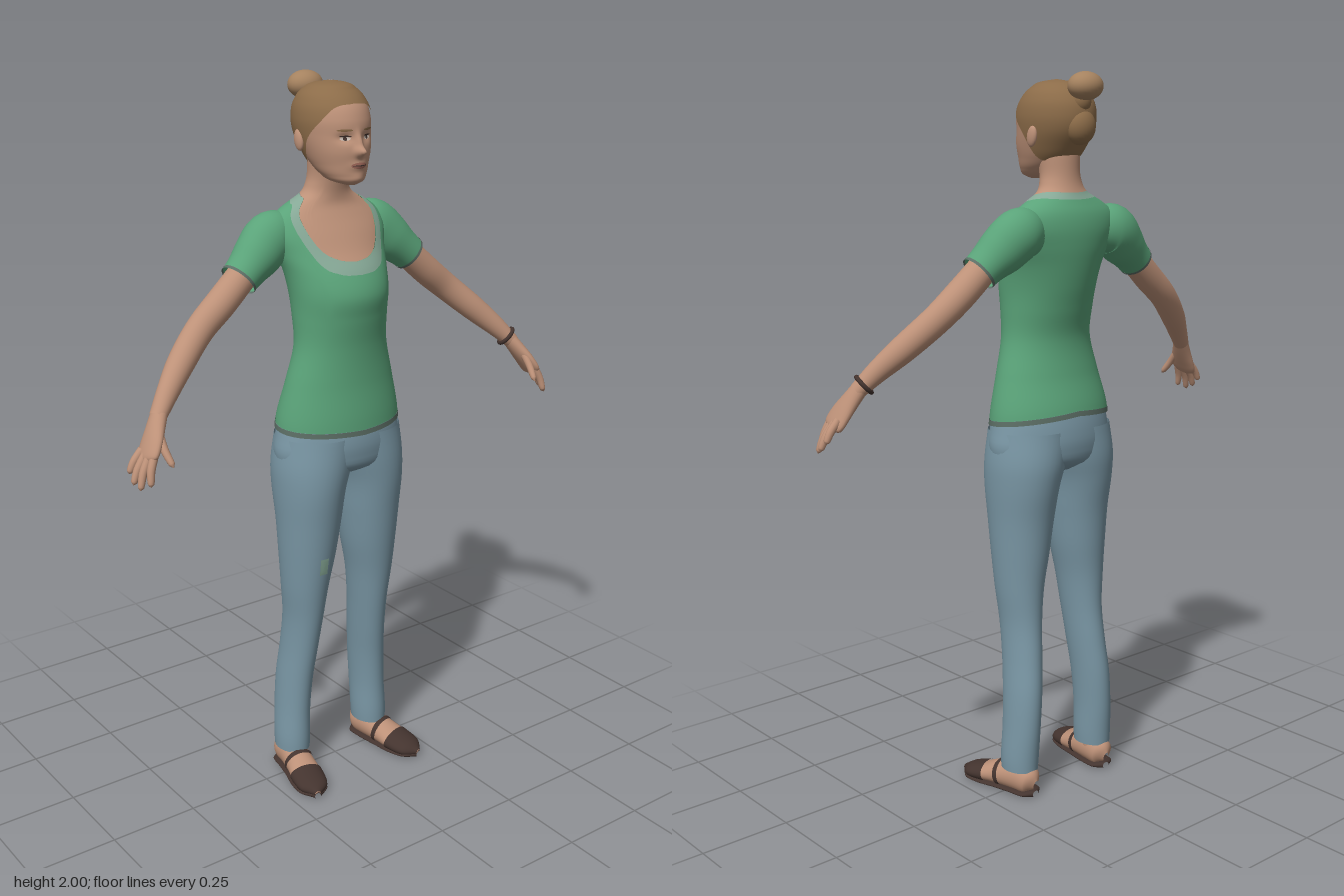
import * as THREE from 'three';

const TAU = Math.PI * 2;
const lerp = THREE.MathUtils.lerp;

// Smooth interpolation of table rows [key, ...values]
function spline(rows) {
  const it = new THREE.CubicInterpolant(
    new Float32Array(rows.map(r => r[0])),
    new Float32Array(rows.flatMap(r => r.slice(1))), rows[0].length - 1);
  return t => Array.from(it.evaluate(t));
}

// Closed band: fn(angle, v) gives a point, v running from 0 to 1
function surface(fn, nu, nv) {
  const pos = [], index = [];
  for (let j = 0; j <= nv; j++)
    for (let i = 0; i < nu; i++) pos.push(...fn(i / nu * TAU, j / nv).toArray());
  for (let j = 0; j < nv; j++)
    for (let i = 0; i < nu; i++) {
      const a = j * nu + i, b = j * nu + (i + 1) % nu;
      index.push(a, b, a + nu, b, b + nu, a + nu);
    }
  const g = new THREE.BufferGeometry();
  g.setAttribute('position', new THREE.Float32BufferAttribute(pos, 3));
  g.setIndex(index);
  g.computeVertexNormals();
  return g;
}

// Upright body from rows [y, xMin, xMax, zFront, zBack]; angle 0 is the front
function body(rows) {
  const s = spline(rows);
  return (a, y, grow = 0) => {
    const [x0, x1, zf, zb] = s(y);
    return new THREE.Vector3(
      (x0 + x1) / 2 + Math.sin(a) * ((x1 - x0) / 2 + grow), y,
      (zf + zb) / 2 + Math.cos(a) * ((zf - zb) / 2 + grow));
  };
}
const symmetric = rows => rows.map(([y, rx, zf, zb]) => [y, -rx, rx, zf, zb]);

// Height line around a body, given for degrees 0 (front) to 180 (back)
function line(rows) {
  const s = spline(rows);
  return a => { const d = a * 360 / TAU; return s(d > 180 ? 360 - d : d)[0]; };
}
const band = (shape, lo, hi, nu, nv, grow = 0) =>
  surface((a, v) => shape(a, lerp(lo(a), hi(a), v), grow), nu, nv);
const level = y => () => y;

// Limb along points [x, y, z, radiusA, radiusB]; radiusA lies along ref
function limb(points, nu, nv, ref = new THREE.Vector3(0, 0, 1), from = 0, to = 1, grow = 0, floor = -1) {
  const curve = new THREE.CatmullRomCurve3(points.map(p => new THREE.Vector3(p[0], p[1], p[2])));
  const radii = spline(points.map((p, i) => [i, p[3], p[4]]));
  return surface((a, v) => {
    const u = lerp(from, to, v), t = curve.getTangent(u);
    const [ra, rb] = radii(u * (points.length - 1));
    const A = ref.clone().addScaledVector(t, -ref.dot(t)).normalize();
    const B = t.clone().cross(A);
    const p = curve.getPoint(u).addScaledVector(A, Math.cos(a) * (ra + grow))
      .addScaledVector(B, Math.sin(a) * (rb + grow));
    p.y = Math.max(p.y, floor);
    return p;
  }, nu, nv);
}

function mirrored(geo) {
  const g = geo.clone().scale(-1, 1, 1), ix = g.index.array;
  for (let i = 0; i < ix.length; i += 3) [ix[i], ix[i + 1]] = [ix[i + 1], ix[i]];
  g.computeVertexNormals();
  return g;
}

// Thin painted spot lying on the front of a body
function spot(shape, cx, cy, w, h, nu = 20, phase = 0, lift = 0.003) {
  return surface((a, v) => {
    const r = 1 - v, x = cx + w * r * Math.cos(a + phase), y = cy + h * r * Math.sin(a + phase);
    const l = shape(-Math.PI / 2, y).x, m = shape(Math.PI / 2, y).x;
    const p = shape(Math.asin(THREE.MathUtils.clamp((2 * x - l - m) / (m - l), -1, 1)), y);
    p.z += lift;
    return p;
  }, nu, 3);
}

export function createModel() {
  const model = new THREE.Group();
  const paint = (name, color, side = THREE.FrontSide) => {
    const m = new THREE.MeshStandardMaterial({ color, side });
    m.name = name;
    return m;
  };
  const skin = paint('skin', 0xbd9178), hair = paint('hair', 0x8c6c49), bunHair = paint('bunHair', 0xa5825f);
  const green = paint('shirtGreen', 0x5aa379, THREE.DoubleSide), trim = paint('collarTrim', 0x86a896);
  const hem = paint('hemGrey', 0x5d6f66, THREE.DoubleSide), denim = paint('denim', 0x7a97a5, THREE.DoubleSide);
  const dark = paint('darkLeather', 0x44342f), lip = paint('lips', 0x9c6658), white = paint('eyeWhite', 0xcfc4ba);
  const add = (name, geo, mat) => {
    const m = new THREE.Mesh(geo, mat);
    m.name = name;
    model.add(m);
    return m;
  };
  const pair = (name, geo, mat) => {
    add(name + 'Left', geo, mat);
    add(name + 'Right', mirrored(geo), mat);
  };
  const ball = (name, x, y, z, rx, ry, rz, mat) =>
    add(name, new THREE.SphereGeometry(1, 28, 18).scale(rx, ry, rz).translate(x, y, z), mat);

  // Torso, split into hem, shirt, collar and bare chest with neck
  const torso = body(symmetric([
    [1.05, 0.192, 0.135, -0.117], [1.10, 0.187, 0.132, -0.114], [1.2, 0.163, 0.122, -0.088],
    [1.3, 0.138, 0.122, -0.076], [1.38, 0.137, 0.132, -0.093], [1.44, 0.141, 0.138, -0.108],
    [1.5, 0.15, 0.115, -0.12], [1.55, 0.165, 0.08, -0.127], [1.6, 0.178, 0.05, -0.128],
    [1.64, 0.162, 0.025, -0.12], [1.665, 0.125, 0.012, -0.108], [1.69, 0.078, 0.01, -0.096],
    [1.72, 0.06, 0.014, -0.088], [1.79, 0.058, 0.03, -0.085]]));
  const hemLow = line([[0, 1.057], [90, 1.068], [180, 1.09]]);
  const hemTop = a => hemLow(a) + 0.014;
  const collarOut = line([[0, 1.495], [25, 1.503], [40, 1.53], [50, 1.61], [65, 1.657], [90, 1.672], [180, 1.672]]);
  const collarIn = line([[0, 1.527], [20, 1.537], [32, 1.562], [41, 1.62], [58, 1.67], [90, 1.688], [180, 1.69]]);
  add('shirtHem', band(torso, hemLow, hemTop, 72, 2, 0.001), hem);
  add('shirt', band(torso, hemTop, collarOut, 96, 60), green);
  add('collar', band(torso, collarOut, collarIn, 96, 5, 0.001), trim);
  add('chestAndNeck', band(torso, collarIn, level(1.79), 96, 30), skin);

  // Sleeves and arms
  const sleeve = [[0.12, 1.585, -0.055, 0.05, 0.06], [0.165, 1.585, -0.06, 0.062, 0.07],
    [0.215, 1.547, -0.05, 0.06, 0.066], [0.255, 1.515, -0.042, 0.054, 0.054], [0.285, 1.49, -0.037, 0.051, 0.049]];
  pair('sleeve', limb(sleeve, 36, 24, undefined, 0, 0.96), green);
  pair('sleeveHem', limb(sleeve, 36, 3, undefined, 0.95, 1, 0.001), hem);
  pair('arm', limb([[0.25, 1.52, -0.04, 0.04, 0.04], [0.34, 1.44, -0.033, 0.041, 0.041],
    [0.41, 1.383, -0.025, 0.037, 0.039], [0.49, 1.313, 0.008, 0.035, 0.036],
    [0.55, 1.256, 0.042, 0.028, 0.029], [0.595, 1.208, 0.068, 0.024, 0.021]], 28, 40), skin);
  pair('palm', limb([[0.588, 1.216, 0.064, 0.024, 0.02], [0.608, 1.185, 0.078, 0.031, 0.02],
    [0.63, 1.15, 0.093, 0.04, 0.018], [0.648, 1.12, 0.102, 0.038, 0.014],
    [0.655, 1.108, 0.106, 0.005, 0.003]], 24, 20), skin);
  const fingers = [[0.638, 1.135, 0.123, 0.662, 1.06, 0.142], [0.645, 1.13, 0.109, 0.682, 1.05, 0.124],
    [0.648, 1.13, 0.094, 0.689, 1.06, 0.102], [0.648, 1.138, 0.078, 0.687, 1.082, 0.078],
    [0.61, 1.185, 0.095, 0.607, 1.105, 0.16]];
  fingers.forEach(([x, y, z, X, Y, Z], i) => {
    const at = (k, r, out) => [lerp(x, X, k) + out, lerp(y, Y, k), lerp(z, Z, k), r, r];
    pair(i < 4 ? 'finger' + (i + 1) : 'thumb',
      limb([at(0, 0.011, 0), at(0.5, 0.0105, 0.005), at(0.9, 0.008, 0.001), at(1, 0.001, 0)], 12, 12), skin);
  });
  const bracelet = add('bracelet', new THREE.TorusGeometry(0.027, 0.006, 10, 32), dark);
  bracelet.position.set(0.58, 1.224, 0.059);
  bracelet.lookAt(0.625, 1.176, 0.085);

  // Trousers
  const hips = body(symmetric([[0.93, 0.12, 0.07, -0.06], [0.955, 0.175, 0.115, -0.1],
    [1.0, 0.196, 0.13, -0.115], [1.05, 0.19, 0.13, -0.114], [1.12, 0.175, 0.115, -0.1]]));
  add('hips', band(hips, level(0.93), level(1.12), 64, 16), denim);
  const legRows = [[0.072, 0.094, 0.189, 0.036, -0.081], [0.1, 0.092, 0.19, 0.037, -0.083],
    [0.2, 0.09, 0.184, 0.036, -0.09], [0.3, 0.083, 0.178, 0.042, -0.09], [0.4, 0.073, 0.17, 0.055, -0.08],
    [0.5, 0.063, 0.168, 0.07, -0.07], [0.6, 0.05, 0.177, 0.085, -0.07], [0.7, 0.03, 0.184, 0.1, -0.078],
    [0.8, 0.015, 0.19, 0.113, -0.088], [0.9, 0, 0.197, 0.125, -0.105], [0.96, -0.02, 0.198, 0.128, -0.112],
    [1.05, -0.05, 0.188, 0.125, -0.108]];
  const leg = body(legRows);
  pair('trouserLeg', band(leg, level(0.072), level(1.05), 40, 60), denim);
  add('thighPatch', mirrored(spot(leg, 0.11, 0.68, 0.018, 0.035, 4, Math.PI / 4)), trim);

  // Feet in flat shoes: dark sole, toe cap and instep strap
  const side = new THREE.Vector3(1, 0, 0);
  const foot = [[0.138, 0.035, -0.088, 0.008, 0.015], [0.14, 0.042, -0.068, 0.034, 0.04],
    [0.145, 0.045, -0.02, 0.039, 0.044], [0.156, 0.038, 0.04, 0.042, 0.036],
    [0.167, 0.028, 0.09, 0.046, 0.026], [0.178, 0.02, 0.14, 0.038, 0.018], [0.186, 0.016, 0.17, 0.006, 0.005]];
  const sole = foot.map(([x, y, z, a]) => [x, 0.008, z, a + 0.003, 0.009]);
  pair('foot', limb(foot, 32, 36, side, 0, 1, 0, 0.006), skin);
  pair('toeCap', limb(foot, 32, 16, side, 0.63, 1, 0.003, 0.004), dark);
  pair('shoeStrap', limb(foot, 32, 3, side, 0.46, 0.5, 0.003, 0.004), dark);
  pair('sole', limb(sole, 32, 30, side, 0, 1, 0, 0), dark);
  pair('ankle', new THREE.CylinderGeometry(0.034, 0.034, 0.12, 24).translate(0.141, 0.1, -0.03), skin);

  // Head with nose, eye sockets, mouth and chin modelled by soft bumps
  const skull = body(symmetric([[1.724, 0.012, 0.08, 0.05], [1.733, 0.04, 0.096, 0.0], [1.75, 0.058, 0.1, -0.035],
    [1.78, 0.073, 0.102, -0.075], [1.81, 0.083, 0.105, -0.1], [1.85, 0.092, 0.1, -0.125],
    [1.89, 0.095, 0.096, -0.132], [1.93, 0.086, 0.078, -0.122], [1.96, 0.064, 0.047, -0.095],
    [1.976, 0.034, 0.015, -0.06], [1.981, 0.002, -0.018, -0.022]]));
  const bumps = [[0, 1.812, 0.012, 0.012, 0.024], [0, 1.835, 0.009, 0.022, 0.012], [0, 1.776, 0.024, 0.012, 0.005],
    [0, 1.745, 0.02, 0.012, 0.004], [0.034, 1.846, 0.018, 0.012, -0.009], [-0.034, 1.846, 0.018, 0.012, -0.009]];
  const face = (a, y, grow) => {
    const p = skull(a, y, grow);
    if (p.z > 0) p.z += bumps.reduce((s, [bx, by, w, h, d]) =>
      s + d * Math.exp(-(((p.x - bx) / w) ** 2) - ((y - by) / h) ** 2), 0);
    return p;
  };
  add('head', band(face, level(1.724), level(1.981), 120, 80), skin);
  const hairline = line([[0, 1.93], [35, 1.92], [60, 1.88], [85, 1.835], [110, 1.785], [145, 1.768], [180, 1.765]]);
  add('hair', band(skull, hairline, level(1.981), 72, 36, 0.004), hair);
  const ear = new THREE.SphereGeometry(1, 18, 12).scale(0.01, 0.028, 0.017).rotateX(-0.2).translate(0.094, 1.835, -0.03);
  pair('ear', ear, skin);
  pair('eye', spot(face, 0.034, 1.845, 0.013, 0.005), white);
  pair('iris', spot(face, 0.034, 1.845, 0.005, 0.005, 16, 0, 0.004), dark);
  pair('eyelid', spot(face, 0.034, 1.851, 0.015, 0.002, 16, 0, 0.004), dark);
  pair('eyebrow', spot(face, 0.036, 1.866, 0.019, 0.003), hair);
  add('lips', spot(face, 0, 1.777, 0.024, 0.008), lip);
  add('mouthLine', spot(face, 0, 1.777, 0.021, 0.0014, 20, 0, 0.004), dark);

  // Hair bun with its knot on the back of the head
  ball('bun', 0, 1.962, -0.133, 0.05, 0.037, 0.043, bunHair);
  ball('bunBase', 0, 1.925, -0.112, 0.03, 0.034, 0.03, hair);
  ball('hairKnot', 0, 1.86, -0.112, 0.045, 0.048, 0.038, hair);
  return model;
}
